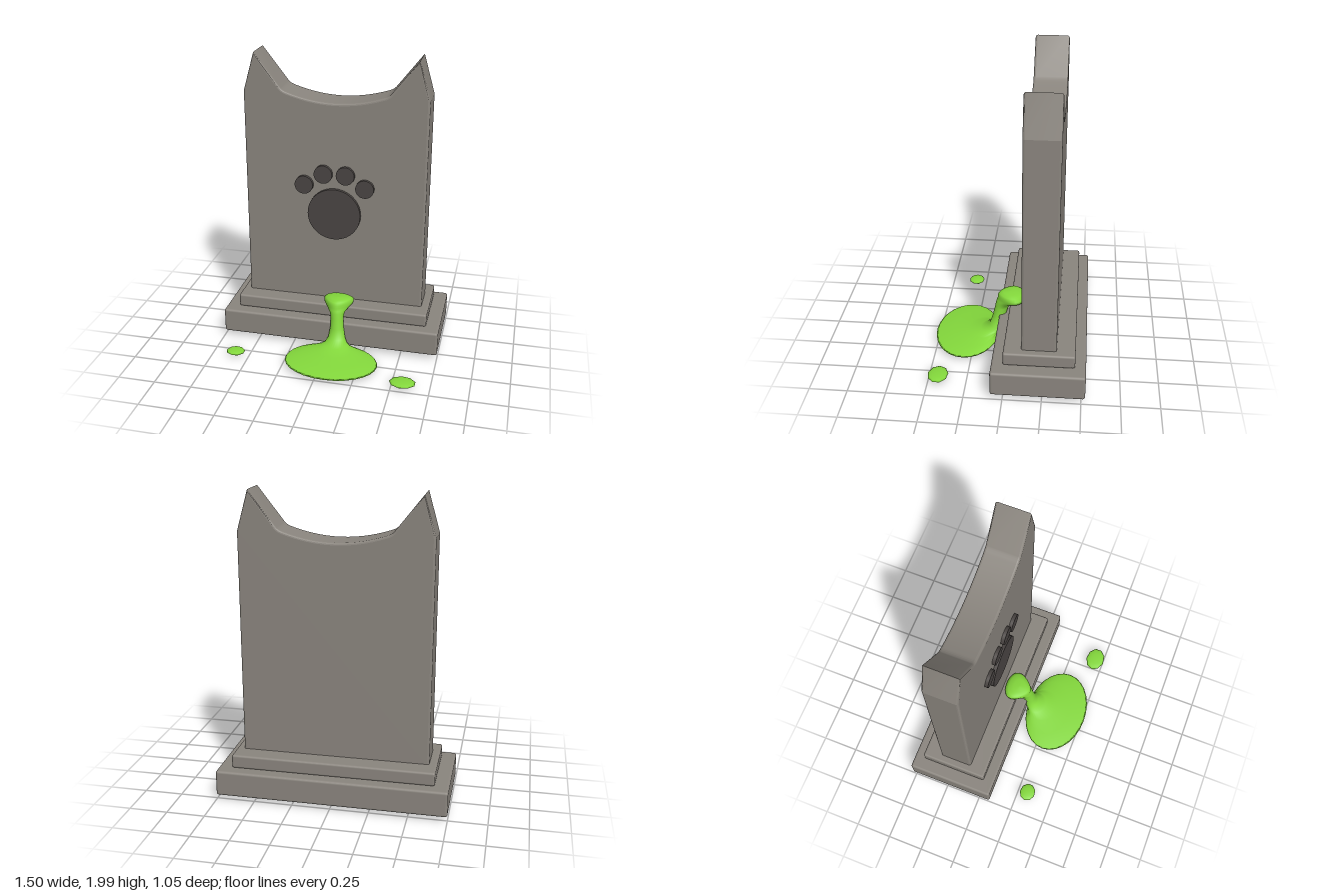
import * as THREE from 'three';
import { toCreasedNormals } from 'three/addons/utils/BufferGeometryUtils.js';
import { RoundedBoxGeometry } from 'three/addons/geometries/RoundedBoxGeometry.js';

const material = (name, color) => {
  const m = new THREE.MeshStandardMaterial({ color });
  m.name = name;
  return m;
};

// Closed skin over stacked egg-shaped rings: [y, centre x, centre z, radius x, radius z, front taper]
function loft(rings, sides = 28) {
  const pos = [], index = [];
  rings.forEach(([y, cx, cz, rx, rz, taper = 0]) => {
    for (let j = 0; j < sides; j++) {
      const t = (j / sides) * Math.PI * 2, s = Math.sin(t);
      pos.push(cx + rx * Math.cos(t) * (1 - taper * s), y, cz + rz * s);
    }
  });
  for (let i = 0; i < rings.length - 1; i++) {
    for (let j = 0; j < sides; j++) {
      const k = (j + 1) % sides;
      const a = i * sides + j, b = i * sides + k, c = a + sides, d = b + sides;
      index.push(a, c, b, b, c, d);
    }
  }
  const g = new THREE.BufferGeometry();
  g.setAttribute('position', new THREE.Float32BufferAttribute(pos, 3));
  g.setIndex(index);
  g.computeVertexNormals();
  return g;
}

export function createModel() {
  const group = new THREE.Group();
  const stone = material('stone', 0x8a857e);
  const darkStone = material('dark stone', 0x4a4543);
  const slime = material('green slime', 0x84d93c);

  const add = (name, geometry, mat, x = 0, y = 0, z = 0) => {
    const mesh = new THREE.Mesh(geometry, mat);
    mesh.name = name;
    mesh.position.set(x, y, z);
    group.add(mesh);
    return mesh;
  };

  // Two-step plinth
  add('plinth', new RoundedBoxGeometry(1.5, 0.17, 0.605, 3, 0.016), stone, 0, 0.125, -0.2225);
  add('plinthStep', new RoundedBoxGeometry(1.32, 0.09, 0.46, 3, 0.014), stone, 0, 0.255, -0.225);

  // Upright slab with two pointed ears and a dipped top
  const outline = new THREE.Shape();
  outline.moveTo(-0.61, 0.28);
  outline.lineTo(0.61, 0.28);
  outline.lineTo(0.61, 1.745);
  outline.lineTo(0.537, 2.0);
  outline.lineTo(0.365, 1.78);
  outline.quadraticCurveTo(0.35, 1.76, 0.32, 1.75);
  outline.quadraticCurveTo(0, 1.64, -0.32, 1.75);
  outline.quadraticCurveTo(-0.35, 1.76, -0.365, 1.78);
  outline.lineTo(-0.537, 2.0);
  outline.lineTo(-0.61, 1.745);
  outline.closePath();
  const bevel = 0.014;
  const slab = new THREE.ExtrudeGeometry(outline, {
    depth: 0.225 - 2 * bevel, curveSegments: 14,
    bevelEnabled: true, bevelSize: bevel, bevelThickness: bevel, bevelOffset: -bevel, bevelSegments: 3,
  });
  add('slab', toCreasedNormals(slab, 0.2), stone, 0, 0, -0.335 + bevel);

  // Raised paw mark: one pad and four toes
  const disc = (name, x, y, r) => {
    const g = new THREE.CylinderGeometry(r, r, 0.035, 36).rotateX(Math.PI / 2);
    add(name, g, darkStone, x, y, -0.1045);
  };
  disc('pawPad', 0, 0.935, 0.18);
  for (const side of [-1, 1]) {
    disc('outerToe', side * 0.206, 1.132, 0.062);
    disc('innerToe', side * 0.075, 1.214, 0.062);
  }

  // Slime: puddle, stream and the blob it runs from
  add('slimePool', loft([
    [0.008, 0.07, 0.2, 0, 0],
    [0.012, 0.07, 0.21, 0.12, 0.09],
    [0.024, 0.07, 0.28, 0.25, 0.185],
    [0.038, 0.07, 0.302, 0.312, 0.22],
    [0.046, 0.07, 0.298, 0.305, 0.212],
    [0.058, 0.07, 0.25, 0.21, 0.155],
    [0.068, 0.068, 0.195, 0.125, 0.11],
    [0.08, 0.067, 0.14, 0.08, 0.072],
    [0.11, 0.065, 0.102, 0.058, 0.048],
    [0.18, 0.063, 0.084, 0.046, 0.044],
    [0.25, 0.06, 0.066, 0.044, 0.046],
    [0.285, 0.057, 0.05, 0.052, 0.055],
    [0.305, 0.054, 0.02, 0.075, 0.08, 0.2],
    [0.322, 0.052, 0, 0.095, 0.092, 0.35],
    [0.343, 0.052, 0, 0.098, 0.092, 0.35],
    [0.36, 0.052, 0.005, 0.083, 0.075, 0.3],
    [0.368, 0.052, 0.01, 0.05, 0.045, 0.2],
    [0.37, 0.052, 0.01, 0, 0],
  ]), slime);

  // Stray drops beside the puddle
  const drop = (x, z, rx, rz) =>
    add('slimeDrop', new THREE.SphereGeometry(1, 9, 6), slime, x, 0.04, z).scale.set(rx, 0.014, rz);
  drop(-0.59, 0.32, 0.064, 0.056);
  drop(0.573, 0.438, 0.087, 0.068);

  return group;
}
